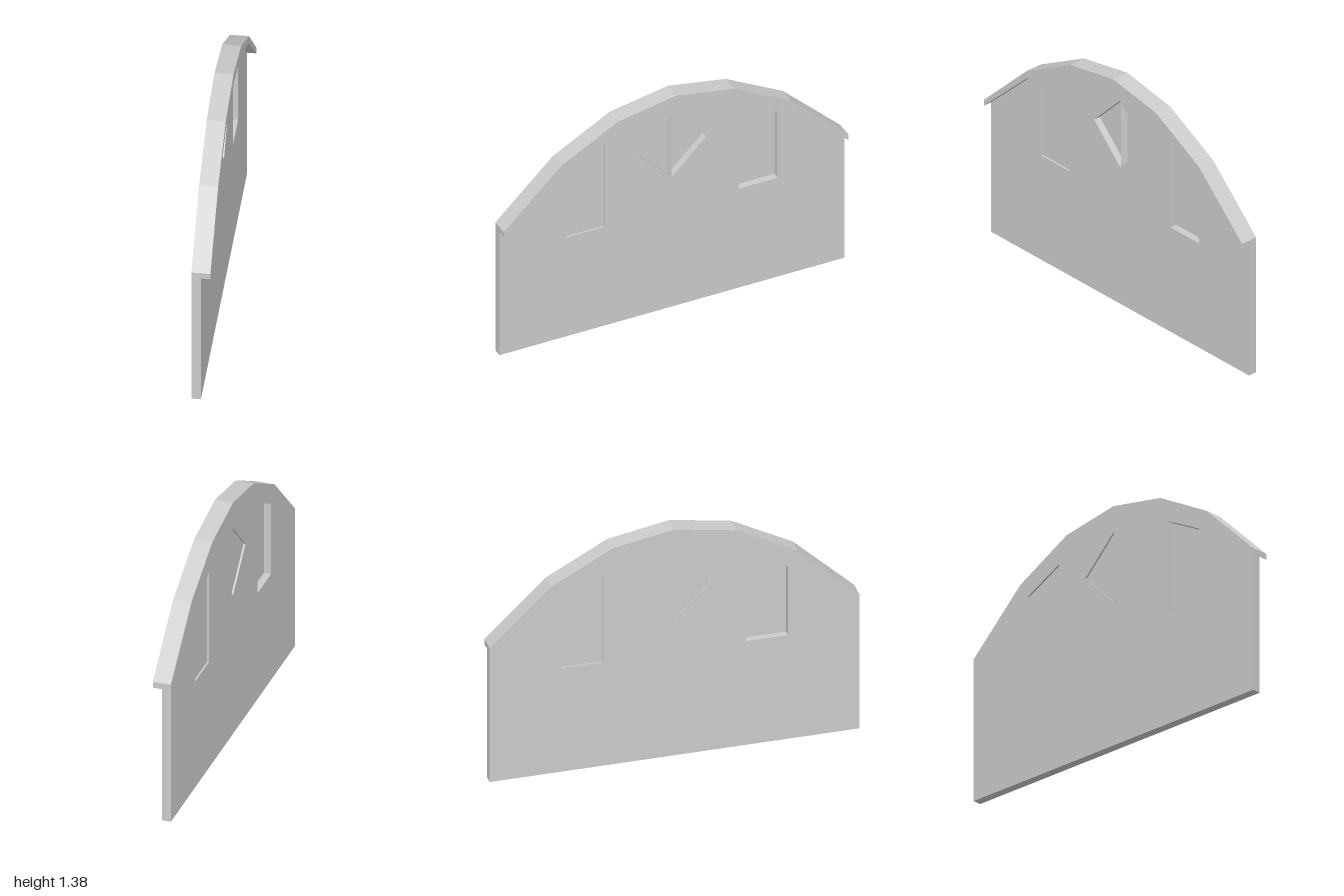
import * as THREE from 'three';

const material = new THREE.MeshStandardMaterial({ color: 0xcccccc, flatShading: true });
const sheetMaterial = new THREE.MeshStandardMaterial({ color: 0xcccccc, flatShading: true, side: THREE.DoubleSide });

const BACK = -0.05, WALL_FRONT = 0, CORNICE_FRONT = 0.05, RECESS = 0.01;

const toPoints = (list) => list.map(([u, y]) => new THREE.Vector2(u, y));
const mirror = (list) => list.map(([u, y]) => [-u, y]).reverse();

export function createModel() {
  const model = new THREE.Group();
  const add = (name, geometry, mat = material) => {
    const mesh = new THREE.Mesh(geometry, mat);
    mesh.name = name;
    model.add(mesh);
  };

  // Profiles are drawn along the wall, then turned so their depth runs along x
  const slab = (shape, x0, x1) =>
    new THREE.ExtrudeGeometry(shape, { depth: x1 - x0, bevelEnabled: false })
      .rotateY(Math.PI / 2).translate(x0, 0, 0);
  const sheet = (points, x) =>
    new THREE.ShapeGeometry(new THREE.Shape(toPoints(points))).rotateY(Math.PI / 2).translate(x, 0, 0);

  // Faceted gable outline and the underside of its cornice
  const topHalf = [[1, 0.815], [0.667, 1.135], [0.335, 1.315]];
  const underHalf = [[1, 0.78], [0.667, 1.09], [0.335, 1.257]];
  const top = [...topHalf, [0, 1.375], ...mirror(topHalf)];
  const under = [...underHalf, [0, 1.317], ...mirror(underHalf)];

  // Openings: two slanted windows and a diamond
  const rightWindow = [[0.39, 0.63], [0.613, 0.63], [0.613, 1.05], [0.39, 1.165]];
  const leftWindow = mirror(rightWindow);
  const diamond = [[0, 0.825], [0.2, 1.025], [0, 1.225], [-0.2, 1.025]];

  // Wall with openings
  const wall = new THREE.Shape(toPoints([[-1, 0], [1, 0], ...top]));
  for (const opening of [rightWindow, leftWindow, diamond]) wall.holes.push(new THREE.Path(toPoints(opening)));
  add('gableWall', slab(wall, BACK, WALL_FRONT));

  // Projecting cornice along the roof line
  add('cornice', slab(new THREE.Shape(toPoints([...top, ...under.slice().reverse()])), WALL_FRONT, CORNICE_FRONT));

  // Thin panes: one window is set near the front face, the others near the back
  add('leftWindowPane', sheet(leftWindow, WALL_FRONT - RECESS), sheetMaterial);
  add('rightWindowPane', sheet(rightWindow, BACK + RECESS), sheetMaterial);
  add('diamondPane', sheet(diamond, BACK + RECESS), sheetMaterial);

  // Triangular mullion down the middle of the diamond
  const wedge = new THREE.Shape(toPoints([[BACK + RECESS, -0.013], [-0.008, 0], [BACK + RECESS, 0.013]]));
  add('diamondMullion', new THREE.ExtrudeGeometry(wedge, { depth: 0.39, bevelEnabled: false })
    .rotateX(-Math.PI / 2).translate(0, 0.83, 0));

  return model;
}
